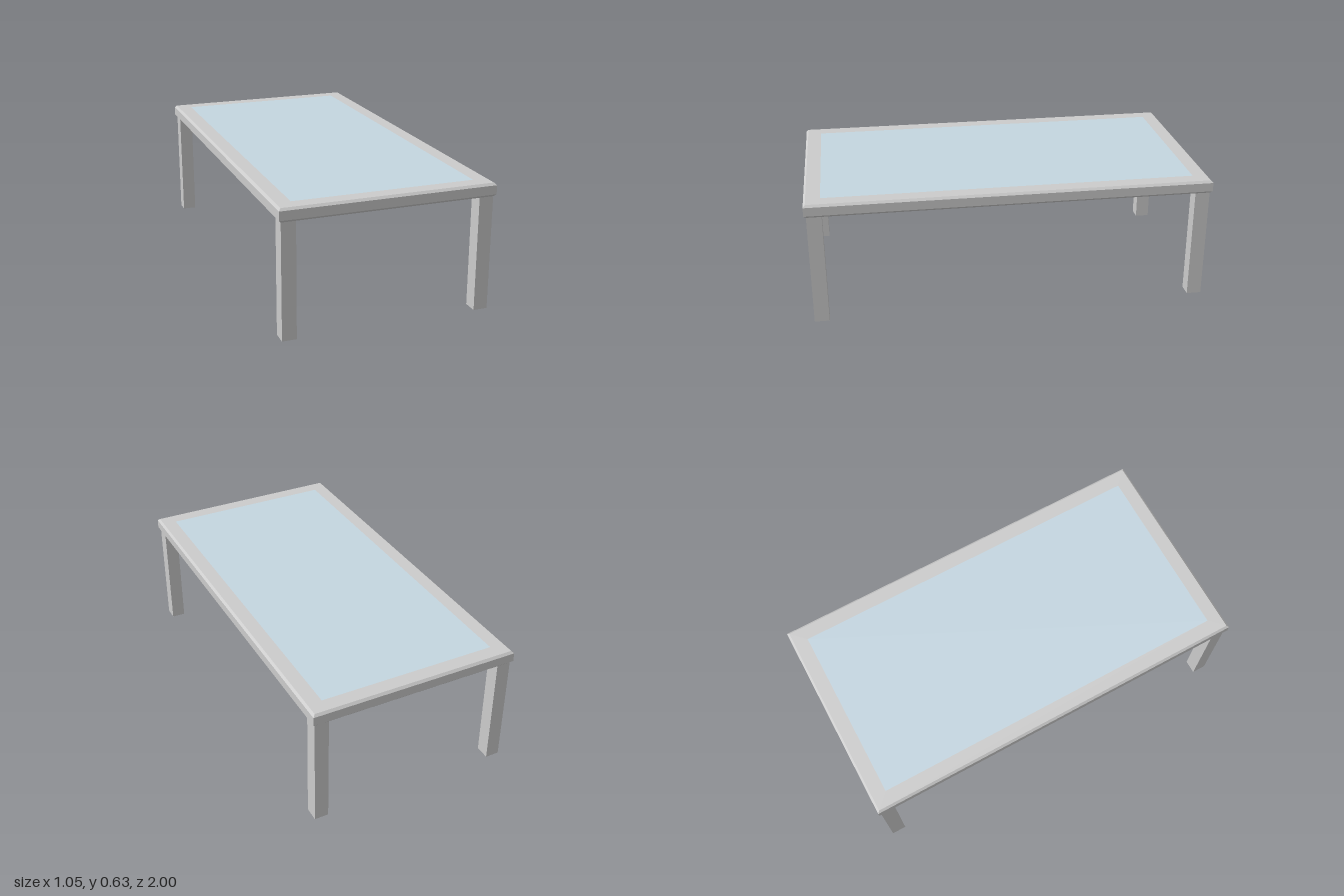
import * as THREE from 'three';

const HALF_X = 0.527, HALF_Z = 1.0;        // outer size of the top
const BOTTOM = 0.565, TOP = 0.631;         // height range of the top
const CHAMFER = 0.011, BORDER = 0.081;     // edge bevel and frame width

// Rectangular ring: sweeps an (inset, height) profile around the four corners
function rectangularRing(profile) {
  const corners = [[1, 1], [1, -1], [-1, -1], [-1, 1]];
  const point = ([inset, y], [sx, sz]) => [sx * (HALF_X - inset), y, sz * (HALF_Z - inset)];
  const positions = [];
  corners.forEach((corner, i) => {
    const next = corners[(i + 1) % 4];
    for (let j = 0; j < profile.length - 1; j++) {
      const a = point(profile[j], corner), b = point(profile[j], next);
      const c = point(profile[j + 1], next), d = point(profile[j + 1], corner);
      positions.push(...a, ...b, ...c, ...a, ...c, ...d);
    }
  });
  const geometry = new THREE.BufferGeometry();
  geometry.setAttribute('position', new THREE.Float32BufferAttribute(positions, 3));
  geometry.computeVertexNormals();
  return geometry;
}

export function createModel() {
  const table = new THREE.Group();
  table.name = 'table';
  const grey = new THREE.MeshStandardMaterial({ color: 0xcccccc, flatShading: true });
  const glass = new THREE.MeshStandardMaterial({ color: 0xc4d6e0, flatShading: true });

  const add = (name, geometry, material, x = 0, y = 0, z = 0) => {
    const mesh = new THREE.Mesh(geometry, material);
    mesh.name = name;
    mesh.position.set(x, y, z);
    table.add(mesh);
  };

  // Chamfered frame, from the underside round the outer edge to the upper side
  add('tableFrame', rectangularRing([
    [BORDER, BOTTOM], [CHAMFER, BOTTOM], [0, BOTTOM + CHAMFER],
    [0, TOP - CHAMFER], [CHAMFER, TOP], [BORDER, TOP],
  ]), grey);

  // Glass pane, flush with the frame above and below
  add('glassPane', new THREE.BoxGeometry(2 * (HALF_X - BORDER), TOP - BOTTOM, 2 * (HALF_Z - BORDER)),
    glass, 0, (TOP + BOTTOM) / 2, 0);

  // Four square legs at the corners
  const legWidth = 0.07, legDepth = 0.073;
  const leg = new THREE.BoxGeometry(legWidth, BOTTOM, legDepth);
  for (const [side, sx] of [['Left', 1], ['Right', -1]]) {
    for (const [end, sz] of [['front', 1], ['back', -1]]) {
      add(`${end}${side}Leg`, leg, grey,
        sx * (HALF_X - CHAMFER - legWidth / 2), BOTTOM / 2, sz * (HALF_Z - CHAMFER - legDepth / 2));
    }
  }
  return table;
}
